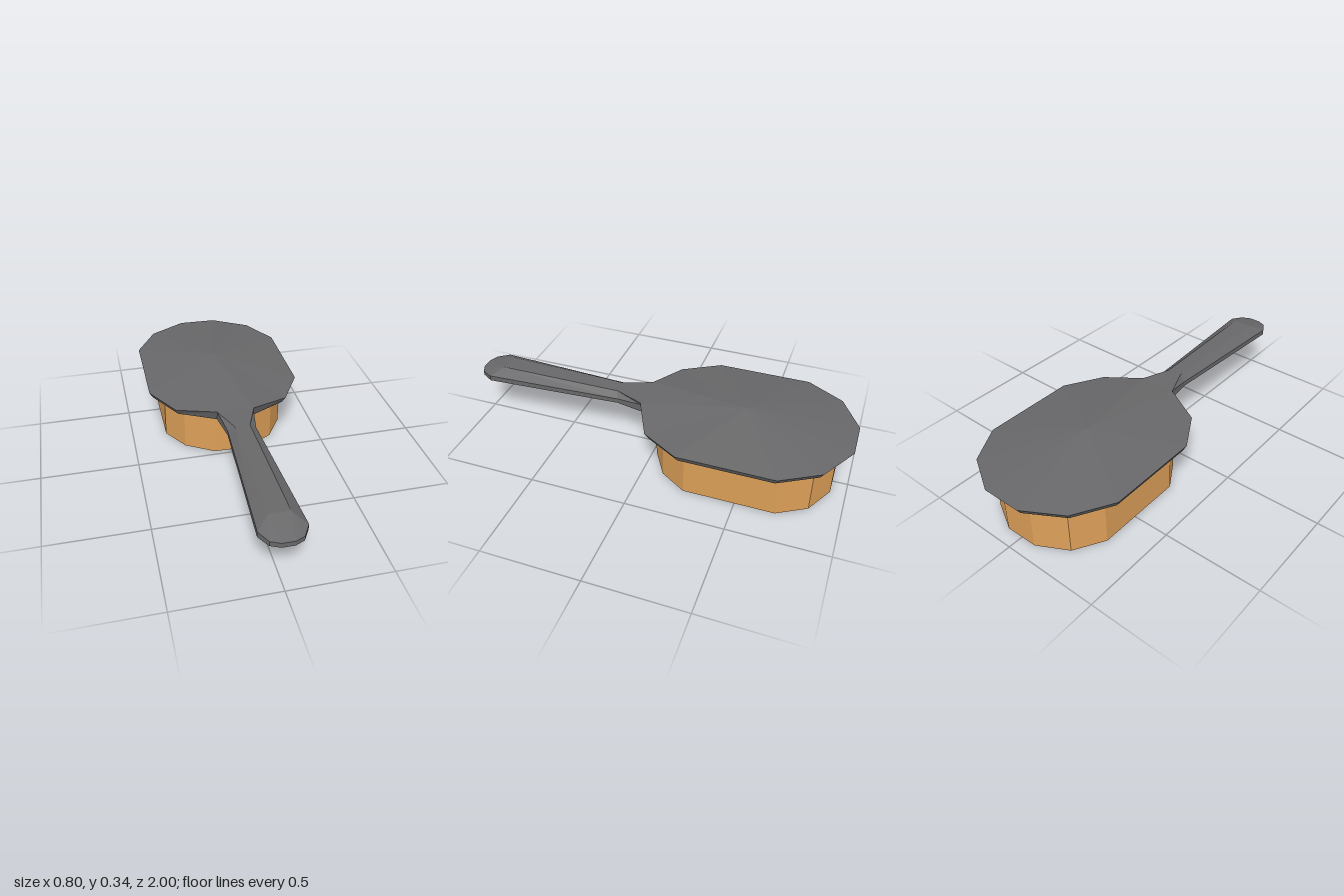
import * as THREE from 'three';

const V = (x, y, z) => new THREE.Vector3(x, y, z);
const MID_Z = -0.46;

// Skins rings ordered counter-clockwise about the loft direction; optional cap centres close the ends.
function loft(rings, startCentre, endCentre) {
  const out = [];
  const tri = (a, b, c) => {
    const area = b.clone().sub(a).cross(c.clone().sub(a)).length();
    if (area > 1e-7) for (const p of [a, b, c]) out.push(p.x, p.y, p.z);
  };
  const n = rings[0].length, last = rings[rings.length - 1];
  for (let i = 0; i < n; i++) {
    const j = (i + 1) % n;
    for (let k = 0; k + 1 < rings.length; k++) {
      const r = rings[k], s = rings[k + 1];
      tri(r[i], r[j], s[j]);
      tri(r[i], s[j], s[i]);
    }
    if (startCentre) tri(startCentre, rings[0][j], rings[0][i]);
    if (endCentre) tri(endCentre, last[i], last[j]);
  }
  const g = new THREE.BufferGeometry();
  g.setAttribute('position', new THREE.Float32BufferAttribute(out, 3));
  g.computeVertexNormals();
  return g;
}

// Mirrors the +x half of an outline (listed front to back) into a closed loop.
const mirrored = half => [...half, ...half.map(([x, z]) => [-x, z]).reverse()];

export function createModel() {
  const group = new THREE.Group();
  const dark = new THREE.MeshStandardMaterial({ color: 0x68686a, flatShading: true });
  const tan = new THREE.MeshStandardMaterial({ color: 0xdc9f58, flatShading: true });
  const add = (name, geometry, material) => {
    const mesh = new THREE.Mesh(geometry, material);
    mesh.name = name;
    group.add(mesh);
  };

  // Head: bevelled twelve-sided plate with a shallow peak, raised where it meets the neck
  const head = mirrored([[0.095, 0.065], [0.29, -0.03], [0.4, -0.22], [0.4, -0.7], [0.29, -0.89], [0.1, -1]]);
  const lower = head.map(([x, z]) => V(x * 0.957, 0.255, MID_Z + (z - MID_Z) * 0.962));
  const upper = head.map(([x, z]) => V(x, z > 0 ? 0.312 : 0.288, z));
  add('head', loft([lower, upper], V(0, 0.255, MID_Z), V(0, 0.345, MID_Z)), dark);

  // Bristle block: straight twelve-sided prism
  const block = mirrored([[0.09, -0.02], [0.235, -0.105], [0.32, -0.24], [0.32, -0.7], [0.235, -0.845], [0.085, -0.925]]);
  const level = y => block.map(([x, z]) => V(x, y, z));
  add('bristles', loft([level(0.005), level(0.257)], V(0, 0.005, MID_Z), V(0, 0.257, MID_Z)), tan);

  // Handle: eight-sided sections; ridge (top and bottom) and sides have their own z
  const section = ([top, topY, side, highY, lowY, bottom, bottomY, ridgeZ, sideZ]) => [
    V(top, topY, ridgeZ), V(-top, topY, ridgeZ),
    V(-side, highY, sideZ), V(-side, lowY, sideZ),
    V(-bottom, bottomY, ridgeZ), V(bottom, bottomY, ridgeZ),
    V(side, lowY, sideZ), V(side, highY, sideZ),
  ];
  const handle = [
    [0.095, 0.312, 0.093, 0.3, 0.262, 0.088, 0.255, 0.05, 0.055],
    [0.095, 0.312, 0.093, 0.3, 0.262, 0.088, 0.253, 0.065, 0.065],
    [0.038, 0.312, 0.072, 0.287, 0.262, 0.04, 0.24, 0.21, 0.2],
    [0.05, 0.32, 0.11, 0.288, 0.26, 0.052, 0.233, 0.86, 0.92],
    [0.05, 0.32, 0.075, 0.284, 0.26, 0.052, 0.233, 0.86, 0.98],
    [0.05, 0.32, 0.03, 0.284, 0.26, 0.052, 0.233, 0.86, 1],
    [0, 0.32, 0, 0.284, 0.26, 0, 0.233, 0.86, 1],
  ];
  add('handle', loft(handle.map(section)), dark);

  // The whole brush leans very slightly to one side
  group.rotation.z = -0.0125;
  return group;
}
